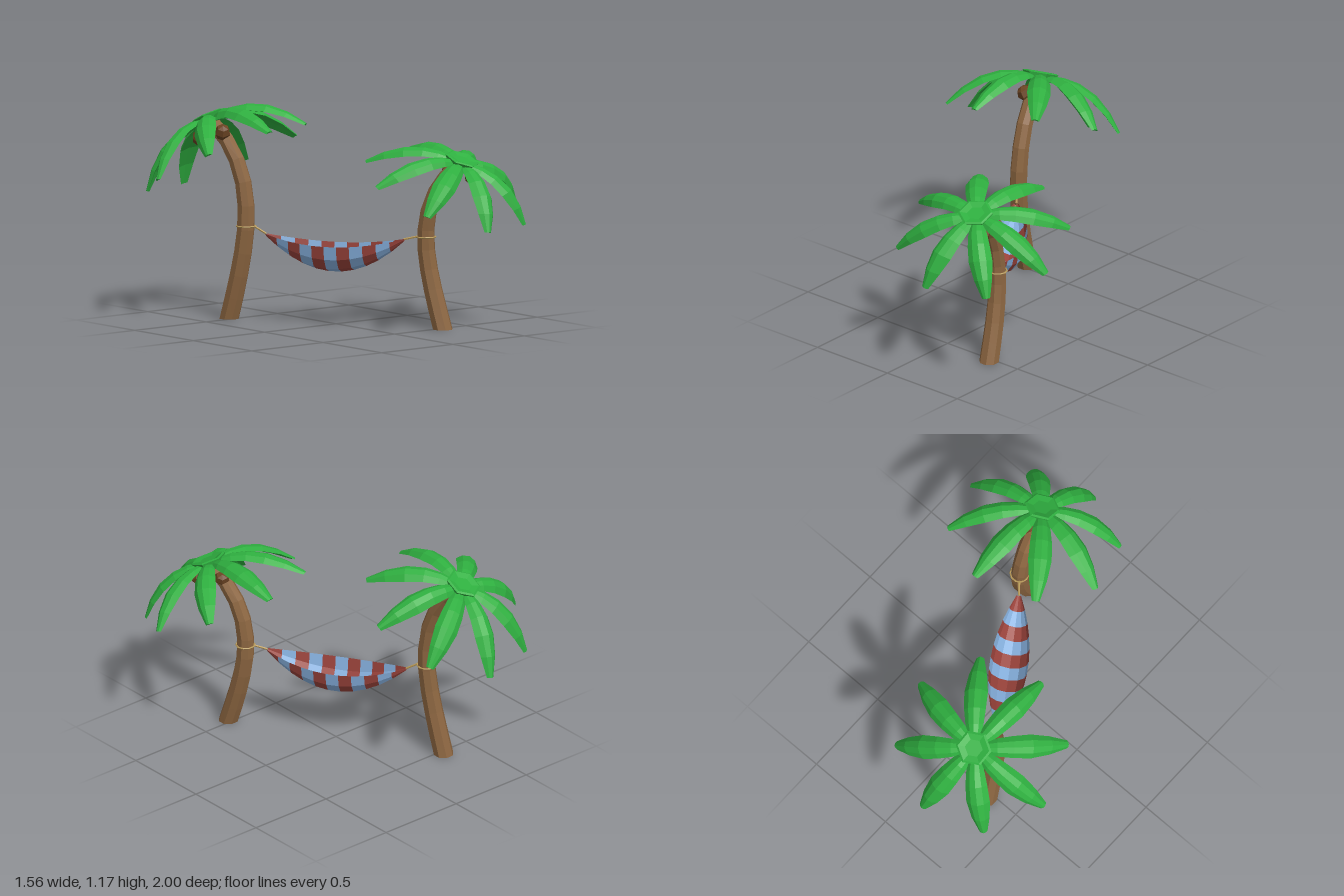
import * as THREE from 'three';

const V = (x, y, z) => new THREE.Vector3(x, y, z);
const mat = (color, side = THREE.FrontSide) =>
  new THREE.MeshStandardMaterial({ color, flatShading: true, side });
const bark = mat(0x8b6540), husk = mat(0x6b4423), green = mat(0x2fb040);
const rope = mat(0xb89a5a);
const red = mat(0x9a433b, THREE.DoubleSide), blue = mat(0x86b0de, THREE.DoubleSide);

function add(parent, name, geometry, material) {
  const mesh = new THREE.Mesh(geometry, material);
  mesh.name = name;
  parent.add(mesh);
  return mesh;
}

// Skin a row of cross-sections; closed ones also get end caps
function loft(rings, closed = true) {
  const pos = [];
  const tri = (...pts) => pts.forEach((p) => pos.push(p.x, p.y, p.z));
  const n = rings[0].length;
  for (let i = 0; i < rings.length - 1; i++) {
    for (let j = 0; j < (closed ? n : n - 1); j++) {
      const k = (j + 1) % n;
      const [a, b, c, d] = [rings[i][j], rings[i][k], rings[i + 1][k], rings[i + 1][j]];
      tri(a, b, d);
      tri(b, c, d);
    }
  }
  if (closed) {
    const s = rings[0], e = rings[rings.length - 1];
    for (let j = 1; j < n - 1; j++) {
      tri(s[0], s[j + 1], s[j]);
      tri(e[0], e[j], e[j + 1]);
    }
  }
  const g = new THREE.BufferGeometry();
  g.setAttribute('position', new THREE.Float32BufferAttribute(pos, 3));
  g.computeVertexNormals();
  return g;
}

// Curved, tapering eight-sided trunk
function trunkGeometry() {
  const path = new THREE.CatmullRomCurve3([
    V(-0.318, 0, -0.525), V(-0.302, 0.25, -0.46), V(-0.288, 0.5, -0.42), V(-0.286, 0.7, -0.43),
    V(-0.297, 0.85, -0.475), V(-0.312, 0.96, -0.54), V(-0.338, 1.06, -0.645),
  ]);
  const rings = [];
  for (let i = 0; i <= 9; i++) {
    const t = i / 9, c = path.getPointAt(t);
    const T = i === 0 ? V(0, 1, 0) : path.getTangentAt(t);
    const N = V(1, 0, 0).addScaledVector(T, -T.x).normalize();
    const B = T.clone().cross(N);
    const r = 0.055 - 0.013 * t;
    rings.push(Array.from({ length: 8 }, (_, j) => {
      const a = ((j + 0.5) / 8) * Math.PI * 2;
      return c.clone().addScaledVector(N, r * Math.cos(a)).addScaledVector(B, r * Math.sin(a));
    }));
  }
  return loft(rings);
}

// Drooping leaf along +x: radius, height, half width per station
function leafGeometry() {
  const st = [
    [0.04, 0, 0.03], [0.13, 0.005, 0.05], [0.22, -0.012, 0.06],
    [0.32, -0.06, 0.065], [0.41, -0.14, 0.05], [0.48, -0.235, 0.022],
  ];
  return loft(st.map(([r, h, w], i) => {
    const p = st[Math.max(i - 1, 0)], q = st[Math.min(i + 1, st.length - 1)];
    const s = Math.atan2(q[1] - p[1], q[0] - p[0]);
    const at = (down, z) => V(r + down * Math.sin(s), h - down * Math.cos(s), z);
    return [
      at(0, 0), at(w * 0.18, w * 0.55), at(w * 0.65, w),
      at(w * 0.5, 0), at(w * 0.65, -w), at(w * 0.18, -w * 0.55),
    ];
  }));
}

function palmTree() {
  const tree = new THREE.Group();
  add(tree, 'trunk', trunkGeometry(), bark);

  // Crown leaning outwards, away from the hammock
  const crown = new THREE.Group();
  crown.name = 'crown';
  const lean = THREE.MathUtils.degToRad(252), tilt = THREE.MathUtils.degToRad(26);
  crown.position.set(-0.34, 1.09, -0.66);
  crown.quaternion.setFromUnitVectors(V(0, 1, 0),
    V(Math.cos(lean) * Math.sin(tilt), Math.cos(tilt), Math.sin(lean) * Math.sin(tilt)));
  const leaf = leafGeometry();
  for (let i = 0; i < 8; i++) {
    add(crown, 'leaf', leaf, green).rotation.y = -(lean + ((i + 0.5) * Math.PI) / 4);
  }
  // Six-sided hub with a dished top
  const hub = [[0, -0.035], [0.07, -0.035], [0.1, 0.012], [0.088, 0.018], [0.05, 0.008], [0, 0.008]];
  add(crown, 'crownHub', new THREE.LatheGeometry(hub.map((p) => new THREE.Vector2(...p)), 6), green);
  tree.add(crown);

  // Coconuts under the crown
  const nut = new THREE.SphereGeometry(0.045, 6, 4);
  [[-0.348, 1.02, -0.545], [-0.4, 0.98, -0.675]].forEach((p, i) => {
    const m = add(tree, 'coconut', nut, husk);
    m.position.set(...p);
    m.rotation.set(0.5, i, 0.3);
  });
  return tree;
}

// Striped cloth hanging between two points
function hammock(a, b) {
  const group = new THREE.Group();
  group.name = 'hammock';
  const side = V(b.z - a.z, 0, a.x - b.x).normalize();
  const stripes = 11;
  const section = (i) => {
    const t = (2 * i) / stripes - 1, full = 1 - t * t;
    const c = a.clone().lerp(b, i / stripes);
    c.y -= 0.045 * full;
    const w = 0.012 + 0.093 * full, depth = 0.012 + 0.135 * full;
    return Array.from({ length: 7 }, (_, j) => {
      const u = (j / 6) * Math.PI;
      const p = c.clone().addScaledVector(side, w * Math.cos(u));
      p.y -= depth * Math.sin(u);
      return p;
    });
  };
  for (let i = 0; i < stripes; i++) {
    add(group, 'hammockStripe', loft([section(i), section(i + 1)], false), i % 2 ? blue : red);
  }
  return group;
}

export function createModel() {
  const model = new THREE.Group();
  model.name = 'palmHammock';

  const tall = palmTree();
  tall.name = 'tallPalm';
  const short = palmTree();
  short.name = 'shortPalm';
  short.rotation.y = Math.PI;
  short.scale.y = 0.86;
  model.add(tall, short);

  const ends = [V(-0.222, 0.477, -0.325), V(0.21, 0.48, 0.325)];
  model.add(hammock(...ends));

  // Rope loop round each trunk and cord to the hammock
  [V(-0.287, 0.515, -0.419), V(0.288, 0.497, 0.419)].forEach((c, i) => {
    const loop = add(model, 'ropeLoop', new THREE.TorusGeometry(0.051, 0.005, 5, 10), rope);
    loop.position.copy(c);
    loop.rotation.x = Math.PI / 2;
    const dir = ends[i].clone().sub(c).setY(0).normalize();
    const start = c.clone().addScaledVector(dir, 0.048);
    add(model, 'ropeCord', new THREE.TubeGeometry(new THREE.LineCurve3(start, ends[i]), 1, 0.006, 5), rope);
  });
  return model;
}
